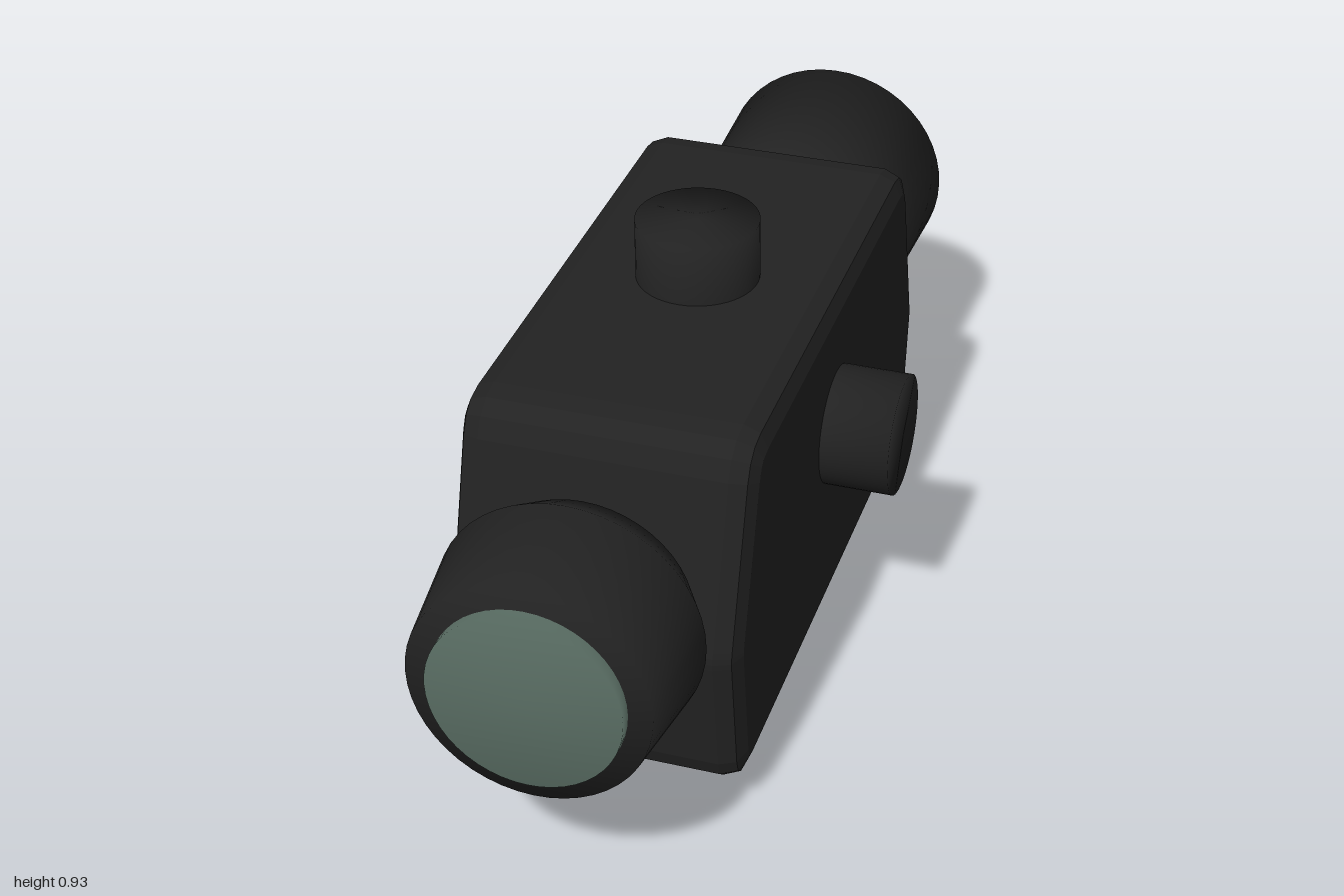
import * as THREE from 'three';
import { RoundedBoxGeometry } from 'three/addons/geometries/RoundedBoxGeometry.js';

const CX = -0.07; // body centre line
const CY = 0.512; // optical axis height

export function createModel() {
  const group = new THREE.Group();
  const black = new THREE.MeshStandardMaterial({ color: 0x222222 });
  black.name = 'matte black';
  const glass = new THREE.MeshStandardMaterial({ color: 0x5a6e64 });
  glass.name = 'green glass';

  const add = (name, geometry, material) => {
    const mesh = new THREE.Mesh(geometry, material);
    mesh.name = name;
    group.add(mesh);
    return mesh;
  };
  // Softly shaded turned part; points are [radius, distance along axis], ascending
  const turned = (name, points, material) => add(name,
    new THREE.LatheGeometry(points.map(([r, d]) => new THREE.Vector2(r, d)), 48), material);

  // Body: side profile [z, y] with rounded corners, extruded across x
  const profile = [
    [0.64, 0.085, 0.06], [0.682, 0.41, 0.02], [0.562, 0.803, 0.07],
    [-0.535, 0.803, 0.07], [-0.638, 0.41, 0.02], [-0.59, 0.085, 0.06],
  ];
  const shape = new THREE.Shape();
  profile.forEach(([z, y, r], i) => {
    const corner = new THREE.Vector2(z, y);
    const toward = (j) => {
      const [nz, ny] = profile[(j + profile.length) % profile.length];
      return new THREE.Vector2(nz, ny).sub(corner).setLength(r).add(corner);
    };
    const a = toward(i - 1), b = toward(i + 1);
    if (i === 0) shape.moveTo(a.x, a.y);
    else shape.lineTo(a.x, a.y);
    shape.quadraticCurveTo(corner.x, corner.y, b.x, b.y);
  });
  shape.closePath();
  const bevel = 0.045, width = 0.56;
  const bodyGeo = new THREE.ExtrudeGeometry(shape, {
    depth: width - 2 * bevel, bevelThickness: bevel, bevelSize: bevel,
    bevelOffset: -bevel, bevelSegments: 2, curveSegments: 3,
  });
  bodyGeo.translate(0, 0, bevel - width / 2);
  bodyGeo.rotateY(-Math.PI / 2); // profile z to world z
  add('body', bodyGeo, black).position.x = CX;

  // Mounting plate under the body
  add('mountingPlate', new RoundedBoxGeometry(0.318, 0.12, 0.93, 2, 0.02), black)
    .position.set(CX, 0.06, 0.025);

  // Front objective and rear eyepiece, both along z
  const lenses = [
    ['frontLens', 1, [[0, 0.682], [0.205, 0.682], [0.252, 0.765], [0.225, 0.975], [0, 0.975]], 0.18, 0.975],
    ['rearLens', -1, [[0, 0.58], [0.234, 0.58], [0.248, 0.98], [0, 0.98]], 0.213, 0.98],
  ];
  for (const [name, dir, points, radius, end] of lenses) {
    const parts = [
      turned(name + 'Housing', points, black),
      turned(name + 'Glass', [[radius, end - 0.02], [radius, 1], [0, 1]], glass),
    ];
    for (const part of parts) {
      part.rotation.x = dir * Math.PI / 2;
      part.position.set(CX, CY, 0);
    }
  }

  // Adjustment knobs on top and on the left side
  const knob = [[0.12, 0], [0.12, 0.165], [0, 0.165]];
  turned('topKnob', knob, black).position.set(CX, 0.76, 0.022);
  const sideKnob = turned('sideKnob', knob, black);
  sideKnob.rotation.z = -Math.PI / 2;
  sideKnob.position.set(0.181, CY, 0.022);

  return group;
}
